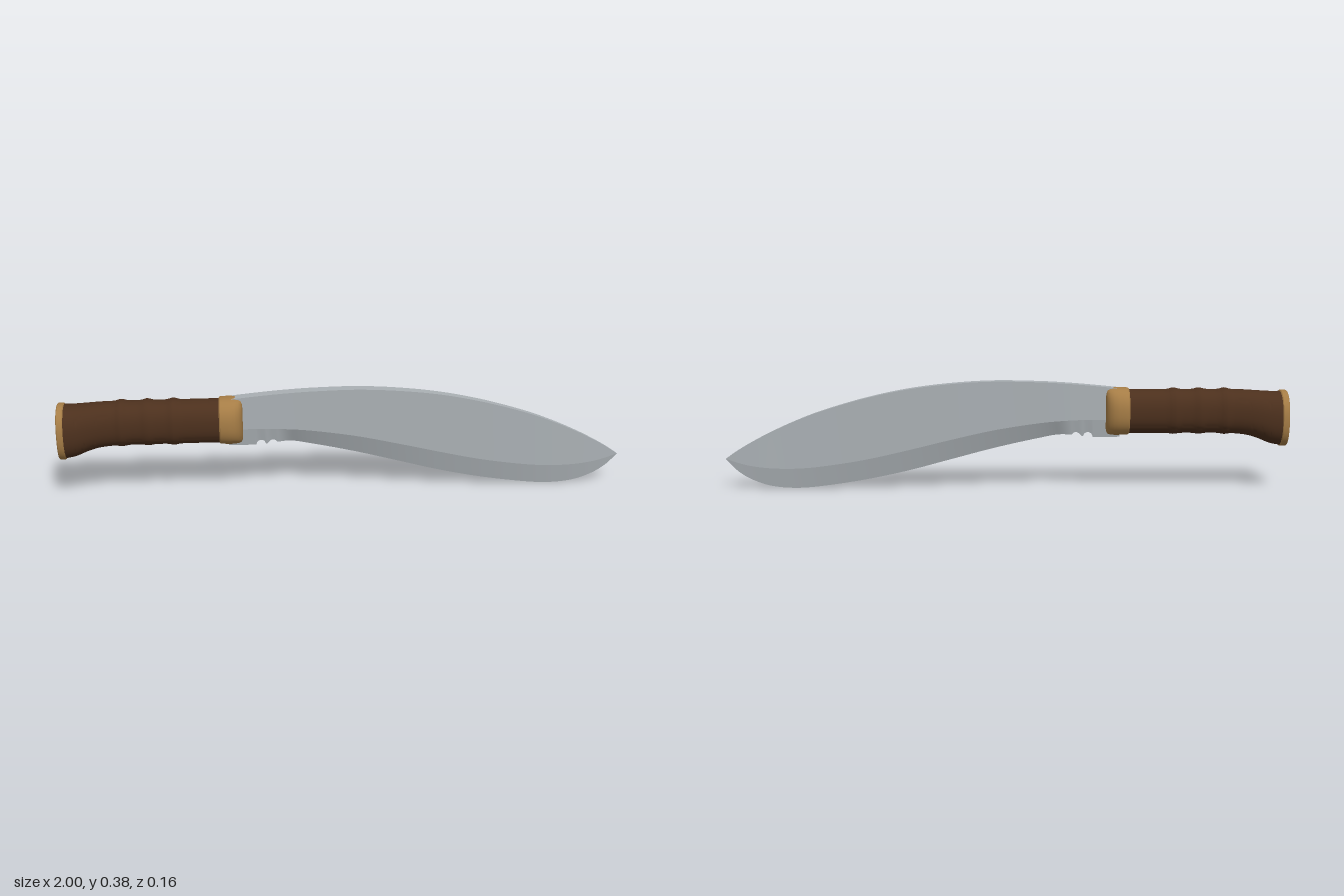
import * as THREE from 'three';
import { mergeGeometries, toCreasedNormals } from 'three/addons/utils/BufferGeometryUtils.js';

const steel = new THREE.MeshStandardMaterial({ color: 0xaab0b4 });
const wood = new THREE.MeshStandardMaterial({ color: 0x4c301d });
const brass = new THREE.MeshStandardMaterial({ color: 0xa67d46 });
steel.name = 'steel';
wood.name = 'dark wood';
brass.name = 'brass';

// Joins rows of points (each row the same length) into an indexed surface
function skin(rows) {
  const n = rows[0].length;
  const index = [];
  for (let i = 0; i < rows.length - 1; i++) {
    for (let j = 0; j < n - 1; j++) {
      const a = i * n + j, b = a + n;
      index.push(a, b, a + 1, b, b + 1, a + 1);
    }
  }
  const geo = new THREE.BufferGeometry();
  geo.setAttribute('position', new THREE.Float32BufferAttribute(rows.flat(2), 3));
  geo.setIndex(index);
  geo.computeVertexNormals();
  return geo;
}

// Closed oval body along x; each section is [x, bottom, top, half width]
function ovalLoft(sections, power = 2.3, sides = 48) {
  const cap = ([x, lo, hi]) => [x, (lo + hi) / 2, (lo + hi) / 2, 0];
  const all = [cap(sections[0]), ...sections, cap(sections[sections.length - 1])];
  const bend = v => Math.sign(v) * Math.abs(v) ** (2 / power);
  const rows = all.map(([x, lo, hi, w]) => Array.from({ length: sides + 1 }, (_, j) => {
    const a = ((j % sides) / sides) * Math.PI * 2;
    return [x, (lo + hi) / 2 + bend(Math.sin(a)) * (hi - lo) / 2, bend(Math.cos(a)) * w];
  }));
  return toCreasedNormals(skin(rows), 0.6);
}

function part(name, geometry, material) {
  const mesh = new THREE.Mesh(geometry, material);
  mesh.name = name;
  return mesh;
}

function bladeGeometry() {
  // x, spine height, bevel height, edge height, spine half width, bevel half width
  const stations = [
    [-0.40, 0.363, 0.25, 0.19, 0.020, 0.022],
    [-0.30, 0.373, 0.252, 0.19, 0.020, 0.022],
    [-0.20, 0.381, 0.248, 0.198, 0.020, 0.022],
    [-0.10, 0.386, 0.238, 0.181, 0.020, 0.021],
    [0.05, 0.388, 0.214, 0.147, 0.019, 0.021],
    [0.20, 0.379, 0.180, 0.107, 0.018, 0.020],
    [0.35, 0.360, 0.143, 0.067, 0.016, 0.018],
    [0.50, 0.328, 0.109, 0.035, 0.014, 0.016],
    [0.65, 0.284, 0.085, 0.012, 0.011, 0.014],
    [0.75, 0.246, 0.076, 0.004, 0.009, 0.012],
    [0.84, 0.205, 0.077, 0.012, 0.007, 0.010],
    [0.91, 0.168, 0.085, 0.036, 0.005, 0.007],
    [0.96, 0.138, 0.097, 0.068, 0.003, 0.004],
    [1.00, 0.110, 0.110, 0.110, 0.0005, 0.0005],
  ];
  const curves = [1, 2, 3, 4, 5].map(k =>
    new THREE.SplineCurve(stations.map(s => new THREE.Vector2(s[0], s[k]))));
  const steps = 260;
  const rings = [];
  for (let i = 0; i <= steps; i++) {
    const pts = curves.map(c => c.getPoint(i / steps));
    const x = pts[0].x;
    let [spine, bevel, edge, ws, wb] = pts.map(p => p.y);
    // Two round notches near the grip, where the edge is still blunt
    for (const c of [-0.287, -0.245]) {
      const d = 0.017 ** 2 - (x - c) ** 2;
      if (d > 0) edge = Math.max(edge, 0.19 + Math.sqrt(d));
    }
    const we = 0.0005 + 0.013 * (1 - THREE.MathUtils.smoothstep(x, -0.24, -0.17));
    rings.push([[x, bevel, wb], [x, spine, ws], [x, spine, -ws],
      [x, bevel, -wb], [x, edge, -we], [x, edge, we], [x, bevel, wb]]);
  }
  // One strip per face keeps the long edges crisp
  const strips = [0, 1, 2, 3, 4, 5].map(j => skin(rings.map(r => [r[j], r[j + 1]])));
  return mergeGeometries(strips);
}

function gripGeometry() {
  const outline = [
    [-0.968, 0.160, 0.351, 0.078], [-0.93, 0.168, 0.351, 0.075],
    [-0.88, 0.188, 0.354, 0.070], [-0.83, 0.199, 0.357, 0.066],
    [-0.75, 0.203, 0.358, 0.064], [-0.60, 0.203, 0.358, 0.064],
    [-0.50, 0.203, 0.358, 0.064], [-0.42, 0.203, 0.358, 0.066],
  ];
  const curves = [1, 2, 3].map(k =>
    new THREE.SplineCurve(outline.map(s => new THREE.Vector2(s[0], s[k]))));
  const sections = [];
  for (let i = 0; i <= 110; i++) {
    const [lo, hi, w] = curves.map(c => c.getPoint(i / 110));
    // Three raised finger ridges
    const r = [-0.77, -0.68, -0.59].reduce(
      (sum, c) => sum + 0.006 * Math.exp(-(((lo.x - c) / 0.016) ** 2)), 0);
    sections.push([lo.x, lo.y - r * 0.6, hi.y + r, w.y + r]);
  }
  return ovalLoft(sections);
}

export function createModel() {
  const model = new THREE.Group();
  model.name = 'curvedKnife';
  model.add(part('blade', bladeGeometry(), steel));
  model.add(part('grip', gripGeometry(), wood));

  // Collar between grip and blade, rounded towards the blade
  model.add(part('bolster', ovalLoft([
    [-0.432, 0.201, 0.360, 0.066], [-0.428, 0.198, 0.364, 0.070],
    [-0.395, 0.196, 0.366, 0.070], [-0.378, 0.196, 0.366, 0.066],
    [-0.365, 0.197, 0.365, 0.058], [-0.356, 0.200, 0.362, 0.047],
    [-0.351, 0.206, 0.356, 0.034], [-0.350, 0.212, 0.350, 0.026],
  ]), brass));

  // Plate closing the end of the grip
  model.add(part('buttPlate', ovalLoft([
    [-0.990, 0.159, 0.352, 0.077], [-0.987, 0.156, 0.355, 0.080],
    [-0.969, 0.156, 0.355, 0.080], [-0.966, 0.159, 0.352, 0.077],
  ]), brass));

  // Domed end of the tang
  model.add(part('tangPin', ovalLoft([
    [-1.0, 0.262, 0.278, 0.008], [-0.998, 0.257, 0.283, 0.013],
    [-0.994, 0.254, 0.286, 0.016], [-0.985, 0.254, 0.286, 0.016],
  ], 2, 20), brass));

  return model;
}
